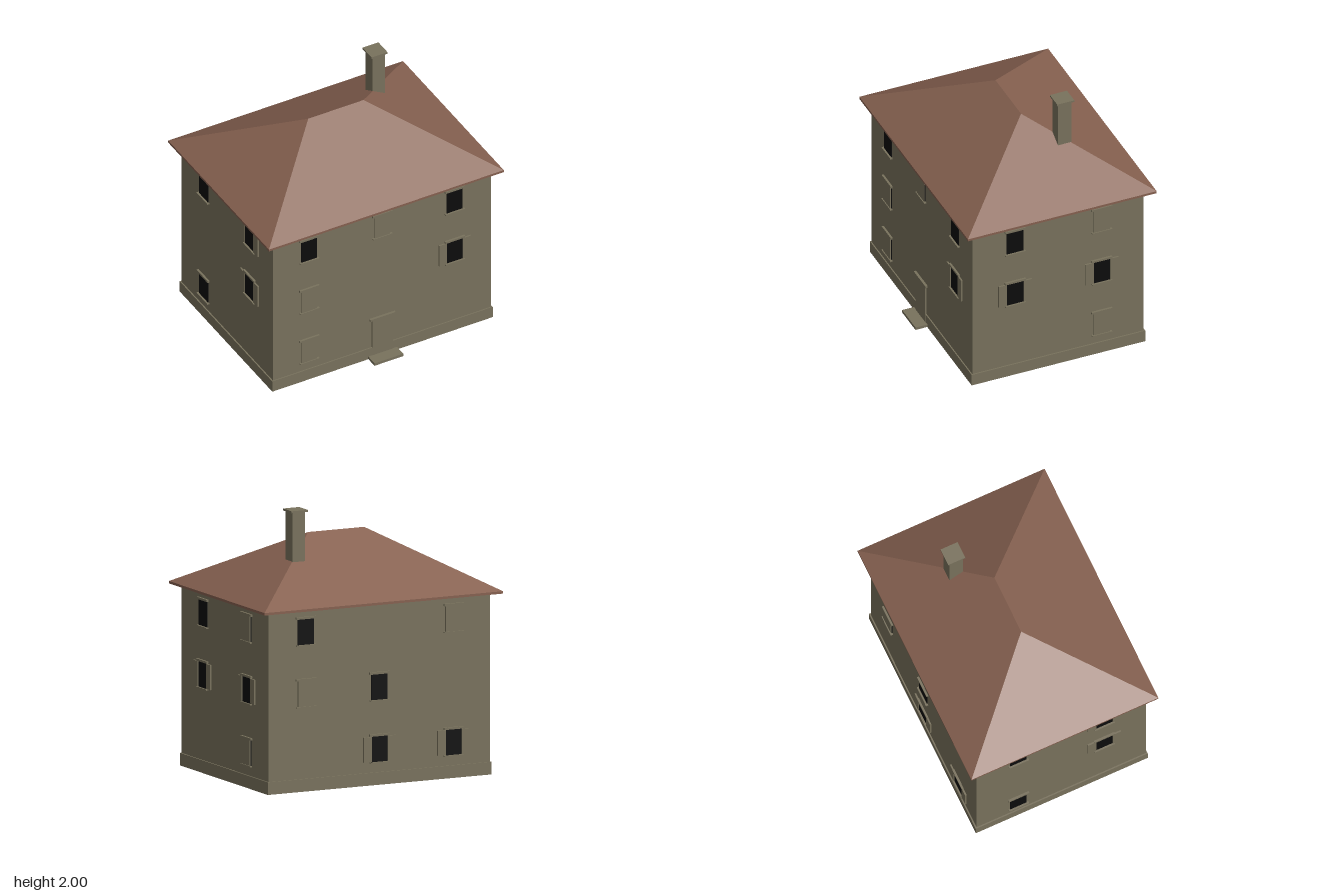
import * as THREE from 'three';

const wall = new THREE.MeshStandardMaterial({ color: 0x79725d });
wall.name = 'stone';
const tile = new THREE.MeshStandardMaterial({ color: 0x866150 });
tile.name = 'roof tile';
const glass = new THREE.MeshStandardMaterial({ color: 0x0c0c0c });
glass.name = 'dark glass';

// Box given by its min and max corners
function block(parent, name, mat, [x0, y0, z0], [x1, y1, z1]) {
  const mesh = new THREE.Mesh(new THREE.BoxGeometry(x1 - x0, y1 - y0, z1 - z0), mat);
  mesh.position.set((x0 + x1) / 2, (y0 + y1) / 2, (z0 + z1) / 2);
  mesh.name = name;
  parent.add(mesh);
  return mesh;
}

// Hipped roof slopes rising from the eaves to a short ridge
function hipRoof(x, zBack, zFront, y0, ridgeX, ridgeZ, y1) {
  const a = [-x, y0, zFront], b = [x, y0, zFront], c = [x, y0, zBack], d = [-x, y0, zBack];
  const l = [-ridgeX, y1, ridgeZ], r = [ridgeX, y1, ridgeZ];
  const faces = [a, b, r, a, r, l, b, c, r, c, d, l, c, l, r, d, a, l];
  const geo = new THREE.BufferGeometry();
  geo.setAttribute('position', new THREE.Float32BufferAttribute(faces.flat(), 3));
  geo.computeVertexNormals();
  return geo;
}

// Window facing +z with its opening starting at y = 0; kind: 'open', 'shutters' or 'closed'
function makeWindow(kind) {
  const g = new THREE.Group();
  g.name = kind + 'Window';
  const w = 0.066, h = 0.19;
  block(g, 'pane', glass, [-w, 0, -0.004], [w, h, 0.005]);
  block(g, 'lintel', wall, [-0.082, h, -0.004], [0.082, h + 0.016, 0.016]);
  block(g, 'sill', wall, [-0.08, -0.009, -0.004], [0.08, 0, 0.019]);
  if (kind === 'closed') {
    block(g, 'closedShutters', wall, [-w - 0.001, 0, -0.004], [w - 0.004, h, 0.012]);
  }
  if (kind === 'shutters') {
    for (const s of [-1, 1]) {
      const x = s * (w + 0.033);
      block(g, 'shutter', wall, [x - 0.033, 0.003, -0.004], [x + 0.033, h - 0.003, 0.012]);
    }
  }
  return g;
}

export function createModel() {
  const model = new THREE.Group();
  model.name = 'house';

  // Body, plinth and doorstep
  block(model, 'walls', wall, [-0.908, 0.05, -0.695], [0.908, 1.345, 0.666]);
  block(model, 'plinth', wall, [-0.918, 0, -0.705], [0.918, 0.093, 0.675]);
  block(model, 'doorstep', wall, [-0.12, 0.003, 0.66], [0.12, 0.025, 0.77]);

  // Door and lintel
  block(model, 'door', wall, [-0.085, 0.025, 0.66], [0.085, 0.34, 0.678]);
  block(model, 'doorLintel', wall, [-0.105, 0.339, 0.66], [0.105, 0.356, 0.685]);

  // Roof
  block(model, 'eaves', tile, [-0.978, 1.34, -0.768], [0.978, 1.358, 0.732]);
  const roof = new THREE.Mesh(hipRoof(0.978, -0.768, 0.732, 1.358, 0.23, -0.02, 1.777), tile);
  roof.name = 'roof';
  model.add(roof);

  // Chimney
  block(model, 'chimney', wall, [0.402, 1.55, -0.3], [0.504, 1.988, -0.193]);
  block(model, 'chimneyCap', wall, [0.387, 1.986, -0.316], [0.52, 2, -0.18]);

  // Windows per side: [world x or z along the wall, floor, kind]
  const floors = [0.17, 0.628, 1.084];
  const sides = [
    { name: 'front', turn: 0, place: t => [t, 0.666], list: [
      [-0.608, 2, 'open'], [0, 2, 'closed'], [0.603, 2, 'open'],
      [-0.608, 1, 'closed'], [0.603, 1, 'shutters'], [-0.608, 0, 'closed']] },
    { name: 'right', turn: Math.PI / 2, place: t => [0.908, t], list: [
      [0.328, 2, 'open'], [-0.36, 2, 'closed'],
      [0.328, 1, 'shutters'], [-0.36, 1, 'shutters'], [-0.36, 0, 'closed']] },
    { name: 'back', turn: Math.PI, place: t => [t, -0.695], list: [
      [0.603, 2, 'open'], [-0.608, 2, 'closed'], [0.603, 1, 'closed'],
      [0, 1, 'open'], [0, 0, 'shutters'], [-0.608, 0, 'shutters']] },
    { name: 'left', turn: -Math.PI / 2, place: t => [-0.908, t], list: [
      [-0.36, 2, 'open'], [0.328, 2, 'shutters'],
      [0.328, 1, 'shutters'], [-0.36, 0, 'open']] },
  ];
  for (const side of sides) {
    const group = new THREE.Group();
    group.name = side.name + 'Windows';
    for (const [t, floor, kind] of side.list) {
      const win = makeWindow(kind);
      const [x, z] = side.place(t);
      win.position.set(x, floors[floor], z);
      win.rotation.y = side.turn;
      group.add(win);
    }
    model.add(group);
  }
  return model;
}
